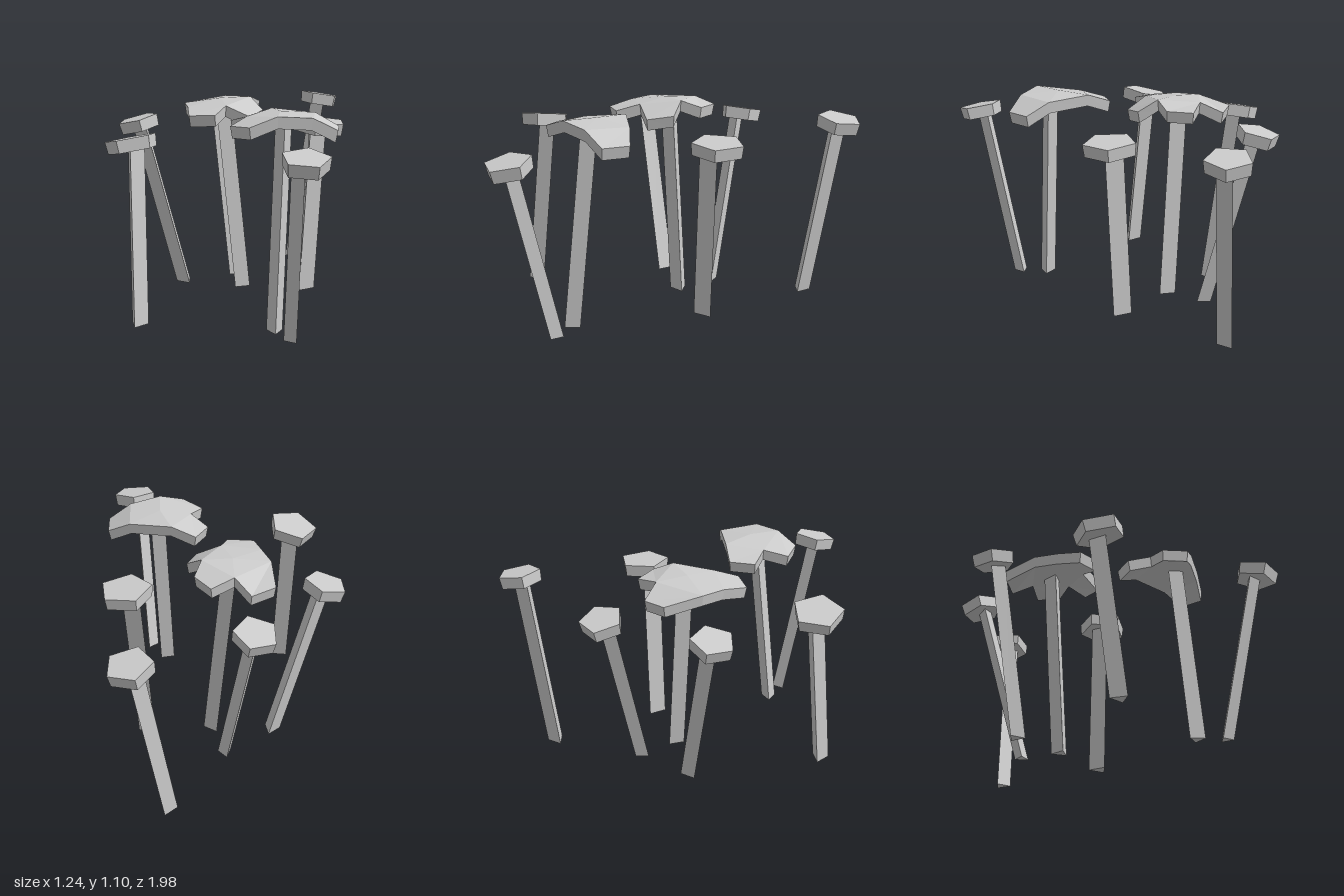
import * as THREE from 'three';

const material = new THREE.MeshStandardMaterial({ color: 0xcccccc, flatShading: true });
const UP = new THREE.Vector3(0, 1, 0);
// turns an angle in the x-z plane (degrees from +x towards +z) into a cylinder start angle
const startAngle = (deg) => THREE.MathUtils.degToRad(90 - deg);

function named(geometry, name) {
  const mesh = new THREE.Mesh(geometry, material);
  mesh.name = name;
  return mesh;
}

// three-sided stem, sheared so that its foot stays flat on the ground
function makeStem({ base, top, r, turn }) {
  const h = top[1];
  const g = new THREE.CylinderGeometry(r, r, h, 3, 1, false, startAngle(turn));
  g.translate(0, h / 2, 0);
  const p = g.attributes.position;
  for (let i = 0; i < p.count; i++) {
    const t = p.getY(i) / h;
    p.setX(i, p.getX(i) + THREE.MathUtils.lerp(base[0], top[0], t));
    p.setZ(i, p.getZ(i) + THREE.MathUtils.lerp(base[1], top[2], t));
  }
  g.computeVertexNormals();
  return named(g, 'stem');
}

// small five-sided cap, tilted to face along n
function makeCap({ at, r, turn, n }) {
  const t = 0.065;
  const normal = new THREE.Vector3(...n).normalize();
  const mesh = named(new THREE.CylinderGeometry(r, r * 0.95, t, 5, 1, false, startAngle(turn)), 'cap');
  mesh.quaternion.setFromUnitVectors(UP, normal);
  mesh.position.set(...at).addScaledVector(normal, -t / 2);
  return mesh;
}

// large lobed cap: a raised core with lobes folding down from it; outline points are
// [x, y, z, isCore], clockwise from above, starting at a core point
function makeLobedCap(outline, centre) {
  const drop = 0.06, n = outline.length, pos = [];
  const top = outline.map((p) => new THREE.Vector3(p[0], p[1], p[2]));
  const mid = new THREE.Vector3(...centre);
  const lower = (v) => new THREE.Vector3(
    THREE.MathUtils.lerp(v.x, mid.x, 0.04), v.y - drop, THREE.MathUtils.lerp(v.z, mid.z, 0.04));
  const tri = (a, b, c) => pos.push(...a.toArray(), ...b.toArray(), ...c.toArray());
  const skin = (a, b, c) => { // upper face and its match underneath
    tri(a, b, c);
    tri(lower(a), lower(c), lower(b));
  };
  const core = outline.map((p, i) => (p[3] ? i : -1)).filter((i) => i >= 0);
  core.forEach((from, k) => {
    const to = k + 1 < core.length ? core[k + 1] : n;
    skin(mid, top[to % n], top[from]);
    for (let j = from + 1; j < to; j++) skin(top[from], top[(j + 1) % n], top[j]);
  });
  top.forEach((a, i) => { // rim
    const b = top[(i + 1) % n];
    tri(b, lower(b), lower(a));
    tri(b, lower(a), a);
  });
  const g = new THREE.BufferGeometry();
  g.setAttribute('position', new THREE.Float32BufferAttribute(pos, 3));
  g.computeVertexNormals();
  return named(g, 'lobedCap');
}

const small = [
  { name: 'backMushroom',
    stem: { base: [0.315, -0.785], top: [0.45, 0.97, -0.87], r: 0.05, turn: 170 },
    cap: { at: [0.46, 1.015, -0.885], r: 0.117, turn: -105, n: [0.14, 1, -0.1] } },
  { name: 'backRightMushroom',
    stem: { base: [0, -0.37], top: [-0.13, 0.92, -0.57], r: 0.042, turn: -100 },
    cap: { at: [-0.135, 0.965, -0.6], r: 0.115, turn: 0, n: [-0.14, 1, -0.2] } },
  { name: 'rightMushroom',
    stem: { base: [-0.27, -0.185], top: [-0.505, 0.91, -0.155], r: 0.05, turn: 172 },
    cap: { at: [-0.53, 0.955, -0.155], r: 0.115, turn: 0, n: [-0.25, 1, 0.04] } },
  { name: 'leftMushroom',
    stem: { base: [0.418, -0.15], top: [0.465, 0.92, -0.15], r: 0.058, turn: -127 },
    cap: { at: [0.5, 0.96, -0.17], r: 0.138, turn: 174, n: [0.06, 1, 0] } },
  { name: 'frontRightMushroom',
    stem: { base: [-0.385, 0.548], top: [-0.41, 0.92, 0.45], r: 0.052, turn: 100 },
    cap: { at: [-0.425, 0.955, 0.46], r: 0.137, turn: 180, n: [-0.2, 1, -0.1] } },
  { name: 'frontMushroom',
    stem: { base: [0.41, 0.668], top: [0.45, 0.92, 0.88], r: 0.041, turn: 53 },
    cap: { at: [0.475, 0.962, 0.89], r: 0.12, turn: -88, n: [0.05, 1, 0.2] } },
];

const large = [
  { name: 'centreMushroom',
    stem: { base: [0.06, -0.15], top: [-0.045, 1.04, -0.13], r: 0.05, turn: -115 },
    centre: [-0.05, 1.085, -0.11],
    outline: [
      [-0.25, 1.055, -0.1, 1], [-0.255, 1.03, -0.31], [-0.13, 1.02, -0.37],
      [-0.05, 1.075, -0.28, 1], [0.07, 1.05, -0.34], [0.15, 1.055, -0.23],
      [0.11, 1.092, -0.13, 1], [0.185, 1.03, -0.06], [0.13, 1.01, 0.07],
      [0, 1.065, 0.06, 1], [-0.04, 1.03, 0.18], [-0.18, 1.025, 0.17],
      [-0.21, 1.05, 0.03, 1]] },
  { name: 'frontLeftMushroom',
    stem: { base: [0.315, 0.55], top: [0.34, 1.04, 0.45], r: 0.047, turn: 80 },
    centre: [0.32, 1.095, 0.4],
    outline: [
      [0.15, 1.065, 0.41, 1], [0.06, 1.03, 0.32], [0.13, 1.035, 0.2],
      [0.26, 1.085, 0.23, 1], [0.485, 1.075, 0.29, 1],
      [0.605, 1.015, 0.33], [0.605, 1.015, 0.47],
      [0.485, 1.08, 0.515, 1], [0.32, 1.093, 0.575, 1],
      [0.19, 1.045, 0.625], [0.085, 1.035, 0.53]] },
];

export function createModel() {
  const model = new THREE.Group();
  model.name = 'mushroomCluster';
  const add = (name, ...parts) => {
    const group = new THREE.Group();
    group.name = name;
    group.add(...parts);
    model.add(group);
  };
  for (const m of small) add(m.name, makeStem(m.stem), makeCap(m.cap));
  for (const m of large) add(m.name, makeStem(m.stem), makeLobedCap(m.outline, m.centre));
  return model;
}
